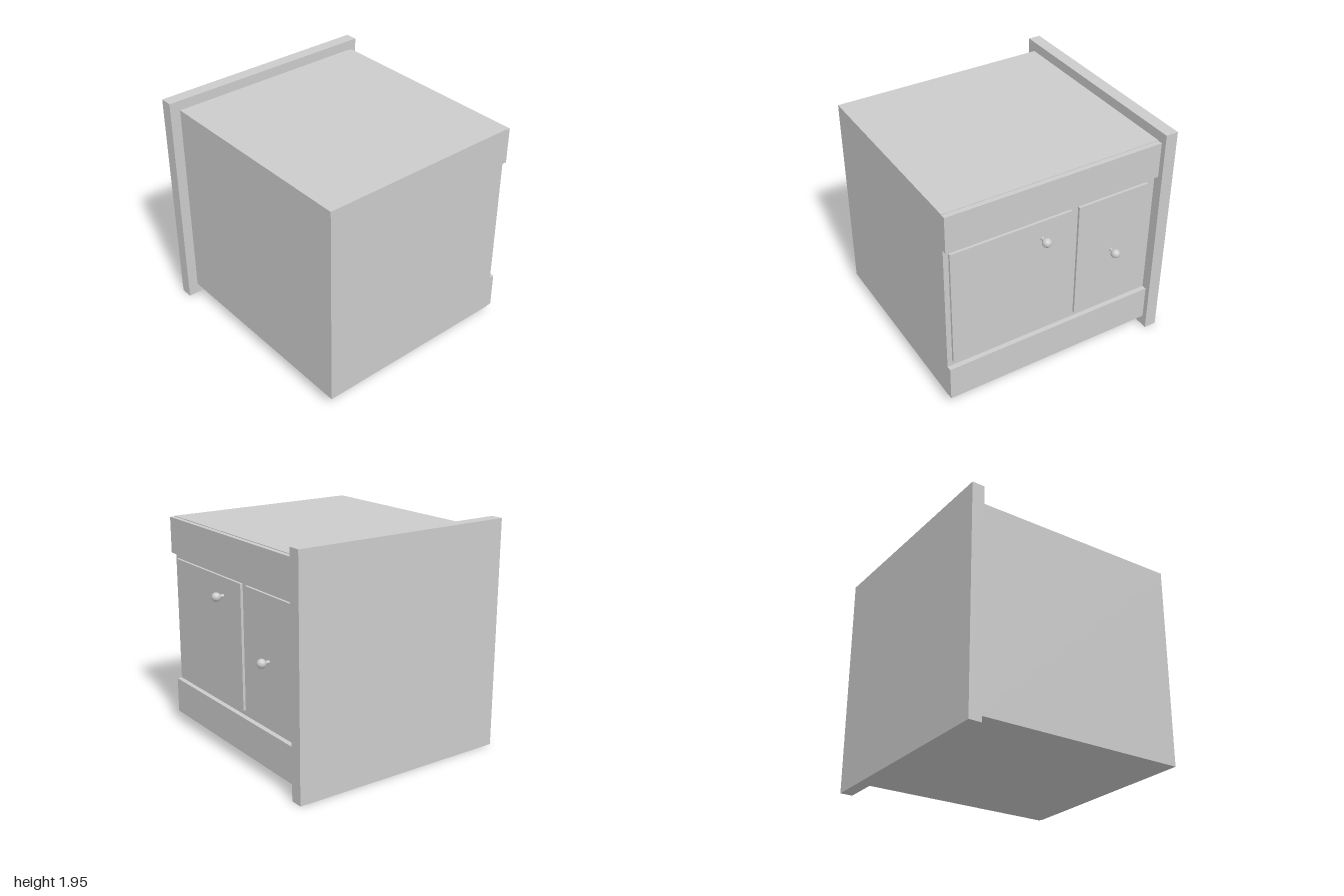
import * as THREE from 'three';

const material = new THREE.MeshStandardMaterial({ color: 0xcccccc });

// Box given by its min and max on each axis
function box(name, [x0, x1], [y0, y1], [z0, z1]) {
  const mesh = new THREE.Mesh(new THREE.BoxGeometry(x1 - x0, y1 - y0, z1 - z0), material);
  mesh.position.set((x0 + x1) / 2, (y0 + y1) / 2, (z0 + z1) / 2);
  mesh.name = name;
  return mesh;
}

// Round knob on a thin stem, pointing along +x
function knob(name, y, z) {
  const group = new THREE.Group();
  group.name = name;
  const ball = new THREE.Mesh(new THREE.SphereGeometry(0.038, 32, 20), material);
  ball.name = 'knobBall';
  ball.position.x = 0.95;
  const stem = new THREE.Mesh(new THREE.CylinderGeometry(0.014, 0.014, 0.07, 20), material);
  stem.name = 'knobStem';
  stem.rotation.z = -Math.PI / 2;
  stem.position.x = 0.915;
  group.add(ball, stem);
  group.position.set(0, y, z);
  return group;
}

export function createModel() {
  const model = new THREE.Group();
  model.name = 'cabinet';
  const depth = [-0.892, 1];

  // Carcass and the overhanging slab on its back end
  model.add(box('carcass', [-0.907, 0.862], [0.092, 1.86], depth));
  model.add(box('slab', [-0.997, 0.95], [0, 1.945], [-1, -0.892]));

  // Raised rails beside the doors
  model.add(box('upperRail', [0.862, 0.904], [1.547, 1.855], depth));
  model.add(box('lowerRail', [0.862, 0.904], [0.097, 0.405], depth));

  // Door panels
  model.add(box('wideDoor', [0.862, 0.884], [0.45, 1.5], [-0.098, 0.957]));
  model.add(box('narrowDoor', [0.862, 0.884], [0.45, 1.5], [-0.815, -0.165]));

  // Knobs
  model.add(knob('wideDoorKnob', 1.346, 0.17));
  model.add(knob('narrowDoorKnob', 0.976, -0.493));
  return model;
}
